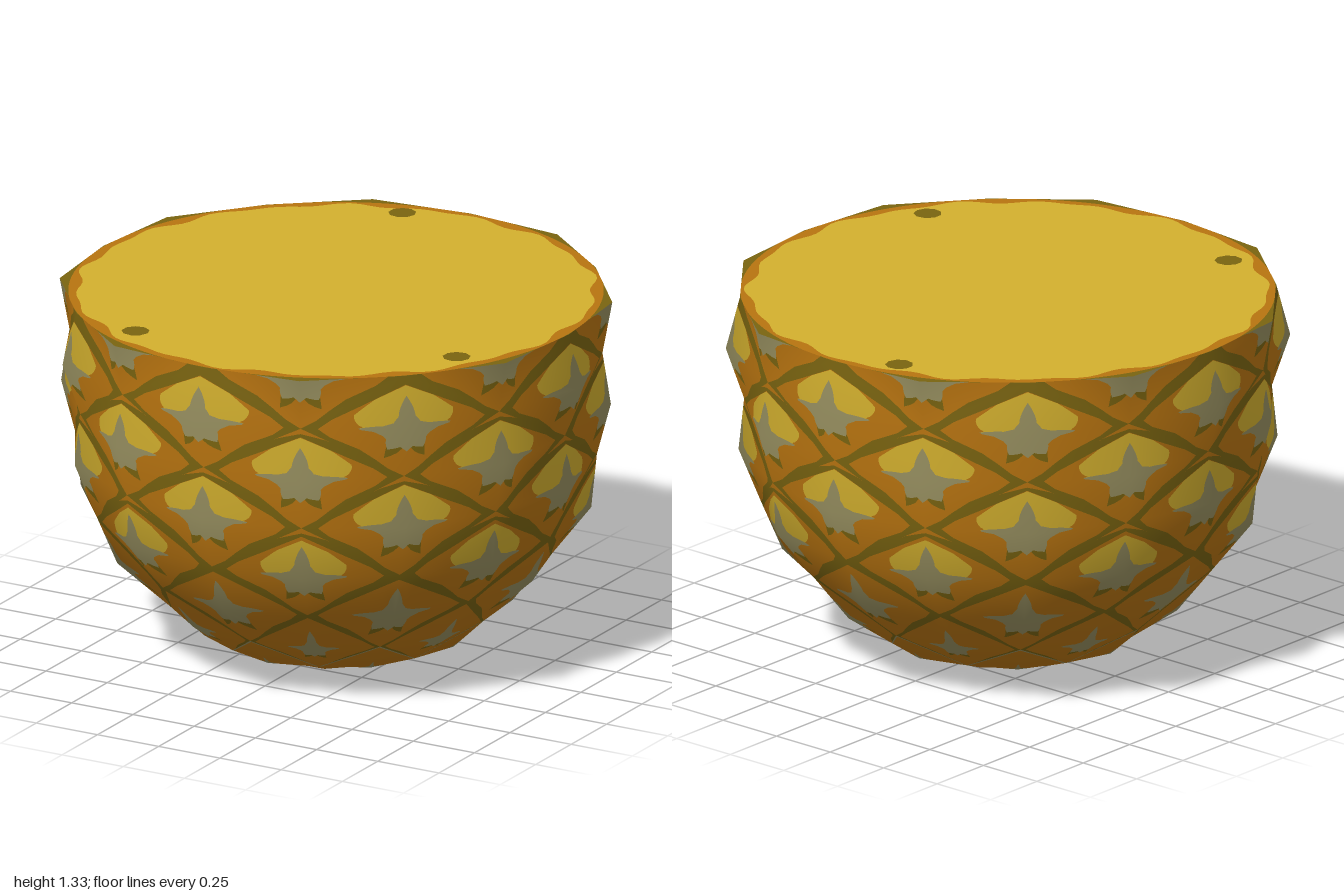
import * as THREE from 'three';

const mat = (name, color) => {
  const m = new THREE.MeshStandardMaterial({ color });
  m.name = name;
  return m;
};

// Piecewise linear lookup in a list of [key, value] pairs
function lookup(table, k) {
  for (let i = 1; i < table.length; i++) {
    const [k0, v0] = table[i - 1], [k1, v1] = table[i];
    if (k <= k1) return v0 + (v1 - v0) * (k - k0) / (k1 - k0);
  }
  return table[table.length - 1][1];
}

// Lattice rows: height, radius at a tile peak, radius at a tile corner
const ROWS = [
  [1.33, 0.985, 0.95], [1.14, 1.0, 0.95], [0.95, 0.98, 0.935],
  [0.76, 0.955, 0.93], [0.56, 0.91, 0.875], [0.38, 0.80, 0.77],
  [0.20, 0.63, 0.605], [0.08, 0.48, 0.46], [0.02, 0.31, 0.29], [0, 0, 0],
];
const SIDES = 16;
const isPeak = (j, i) => (i + j) % 2 !== 0;

// Tile outlines: position from top corner (0) by side (1) to bottom (2) -> radius
const STAR = [[0, 0.64], [0.25, 0.34], [0.5, 0.27], [0.75, 0.31], [0.95, 0.49], [1.1, 0.36],
  [1.35, 0.36], [1.5, 0.4], [1.7, 0.6], [1.85, 0.42], [2, 0.45]];
const DOME = [[0, 0.83], [0.35, 0.85], [0.66, 0.76], [0.85, 0.54], [0.95, 0.4], [1, 0], [2, 0]];
const LEGS = [[0, 0], [1.6, 0], [1.65, 0.5], [1.75, 0.82], [1.88, 0.5], [1.9, 0], [2, 0]];
const FLESH = [[0, 0.84], [0.5, 0.86], [0.8, 0.88], [1, 0.84], [1.2, 0.9], [1.5, 0.87],
  [1.7, 0.93], [1.85, 1], [2, 1]];
const EARS = [[0, 0.9], [0.26, 1], [2, 1]];

// Row styles: star size, dome size, leg size, border width, top corner opening, grey border
const STYLE = [
  [1, 0, 1, 1, 0, 0], [1, 1, 1, 1, 0, 0], [1, 1, 1, 1, 1, 0], [1, 1, 1, 1, 1, 0],
  [1, 0.92, 1, 1, 1, 0], [1.05, 0, 1, 0.75, 0, 0], [0.85, 0, 0.8, 0.5, 0, 0],
  [0.4, 0, 0, 0.3, 0, 1], [0, 0, 0, 0, 0, 0],
];

export function createModel() {
  const rind = mat('orange rind', 0xb87410);
  const olive = mat('olive seam', 0x7a6410);
  const yellow = mat('yellow flesh', 0xd3b02e);
  const grey = mat('grey bract', 0x989060);
  const all = [rind, olive, yellow, grey];

  const group = new THREE.Group();
  group.name = 'halvedFruit';

  // Lattice points and their smooth normals
  const pts = ROWS.map(([y, peak, corner], j) => Array.from({ length: SIDES }, (_, i) => {
    const a = i / SIDES * Math.PI * 2, r = isPeak(j, i) ? peak : corner;
    return { p: new THREE.Vector3(r * Math.sin(a), y, r * Math.cos(a)), n: new THREE.Vector3() };
  }));
  const pole = { p: new THREE.Vector3(0, 0, 0), n: new THREE.Vector3(0, -1, 0) };
  const at = (j, i) => j === ROWS.length - 1 ? pole : pts[j][(i + SIDES) % SIDES];

  const tiles = [];
  for (let j = 0; j < STYLE.length; j++) for (let i = 0; i < SIDES; i++) {
    if (!isPeak(j, i)) continue;
    const t = { j, c: at(j, i), up: j ? at(j - 1, i) : null, down: at(j + 1, i),
      left: at(j, i - 1), right: at(j, i + 1) };
    tiles.push(t);
    const ring = [t.up, t.left, t.down, t.right];
    ring.forEach((v, k) => {
      const w = ring[(k + 1) % 4];
      if (!v || !w) return;
      const n = v.p.clone().sub(t.c.p).cross(w.p.clone().sub(t.c.p));
      for (const q of [t.c, v, w]) q.n.add(n);
    });
  }
  pts.flat().forEach(q => q.n.normalize());
  pole.n.set(0, -1, 0);

  // Every tile is a four-sided pyramid cut into nested coloured rings
  const data = new Map(all.map(m => [m, { pos: [], nor: [] }]));
  const STEP = 20;
  const place = (t, s, r) => {
    const h = s < 2 ? s : 4 - s;
    const a = (h < 1 ? h : 2 - h) * r, b = Math.abs(1 - h) * r;
    const side = s < 2 ? t.left : t.right, end = h <= 1 && t.up ? t.up : t.down;
    const mix = key => t.c[key].clone().multiplyScalar(1 - a - b)
      .addScaledVector(side[key], a).addScaledVector(end[key], b);
    return { p: mix('p'), n: mix('n').normalize() };
  };
  const radii = (j, s) => {
    const h = s < 2 ? s : 4 - s;
    const [star, dome, legs, border, ears] = STYLE[j];
    const list = [0, lookup(STAR, h) * star, lookup(DOME, h) * dome, lookup(LEGS, h) * legs,
      1 - (1 - lookup(FLESH, h)) * border, ears ? lookup(EARS, h) : 1, 1];
    for (let k = 1; k < list.length; k++) list[k] = Math.min(1, Math.max(list[k], list[k - 1]));
    return list;
  };
  for (const t of tiles) {
    const seam = STYLE[t.j][5] ? grey : olive;
    const ringMats = [grey, yellow, olive, rind, seam, rind];
    const from = t.up ? 0 : STEP, to = t.up ? 4 * STEP : 3 * STEP;
    for (let k = from; k < to; k++) {
      const s0 = k / STEP, s1 = (k + 1) / STEP;
      const r0 = radii(t.j, s0), r1 = radii(t.j, s1);
      ringMats.forEach((m, q) => {
        const d = data.get(m);
        const put = (...vs) => vs.forEach(v => { d.pos.push(...v.p); d.nor.push(...v.n); });
        const in0 = place(t, s0, r0[q]), in1 = place(t, s1, r1[q]);
        const out0 = place(t, s0, r0[q + 1]), out1 = place(t, s1, r1[q + 1]);
        if (r0[q + 1] - r0[q] > 1e-5) put(in0, out0, out1);
        if (r1[q + 1] - r1[q] > 1e-5 && r0[q] + r1[q] > 0) put(in0, out1, in1);
      });
    }
  }
  const names = ['rindSkin', 'rindSeams', 'rindDomes', 'rindBracts'];
  all.forEach((m, k) => {
    const g = new THREE.BufferGeometry(), d = data.get(m);
    g.setAttribute('position', new THREE.Float32BufferAttribute(d.pos, 3));
    g.setAttribute('normal', new THREE.Float32BufferAttribute(d.nor, 3));
    const mesh = new THREE.Mesh(g, m);
    mesh.name = names[k];
    group.add(mesh);
  });

  // Flat cut face: flesh disc, wavy skin ring and outer seam
  const top = ROWS[0][0], N = 160;
  const rim = k => {
    const i = Math.floor(k * SIDES / N), f = k * SIDES / N - i;
    return at(0, i).p.clone().lerp(at(0, i + 1).p, f);
  };
  const edges = [
    () => 0,
    k => {
      const a = k / N * Math.PI * 2;
      return 0.915 + 0.01 * (Math.sin(23 * a) + Math.sin(14 * a + 1));
    },
    (k, r) => Math.min(r, 0.946),
    (k, r) => r,
  ];
  const capPoint = (e, k) => {
    const p = rim(k % N), r = Math.hypot(p.x, p.z), f = edges[e](k % N, r) / r;
    return [p.x * f, top, p.z * f];
  };
  [['cutFlesh', yellow], ['cutSkinRing', rind], ['cutSeamRing', olive]].forEach(([name, m], e) => {
    const pos = [];
    for (let k = 0; k < N; k++) {
      const a = capPoint(e, k), b = capPoint(e + 1, k), c = capPoint(e + 1, k + 1), d = capPoint(e, k + 1);
      pos.push(...a, ...b, ...c);
      if (e) pos.push(...a, ...c, ...d);
    }
    const g = new THREE.BufferGeometry();
    g.setAttribute('position', new THREE.Float32BufferAttribute(pos, 3));
    g.computeVertexNormals();
    const mesh = new THREE.Mesh(g, m);
    mesh.name = name;
    group.add(mesh);
  });

  // Dark seeds on the cut face
  for (const [x, z] of [[-0.21, -0.83], [0.73, 0.41], [-0.39, 0.74]]) {
    const seed = new THREE.Mesh(new THREE.CircleGeometry(0.05, 9), olive);
    seed.rotation.x = -Math.PI / 2;
    seed.position.set(x, top + 0.003, z);
    seed.name = 'seed';
    group.add(seed);
  }
  return group;
}
